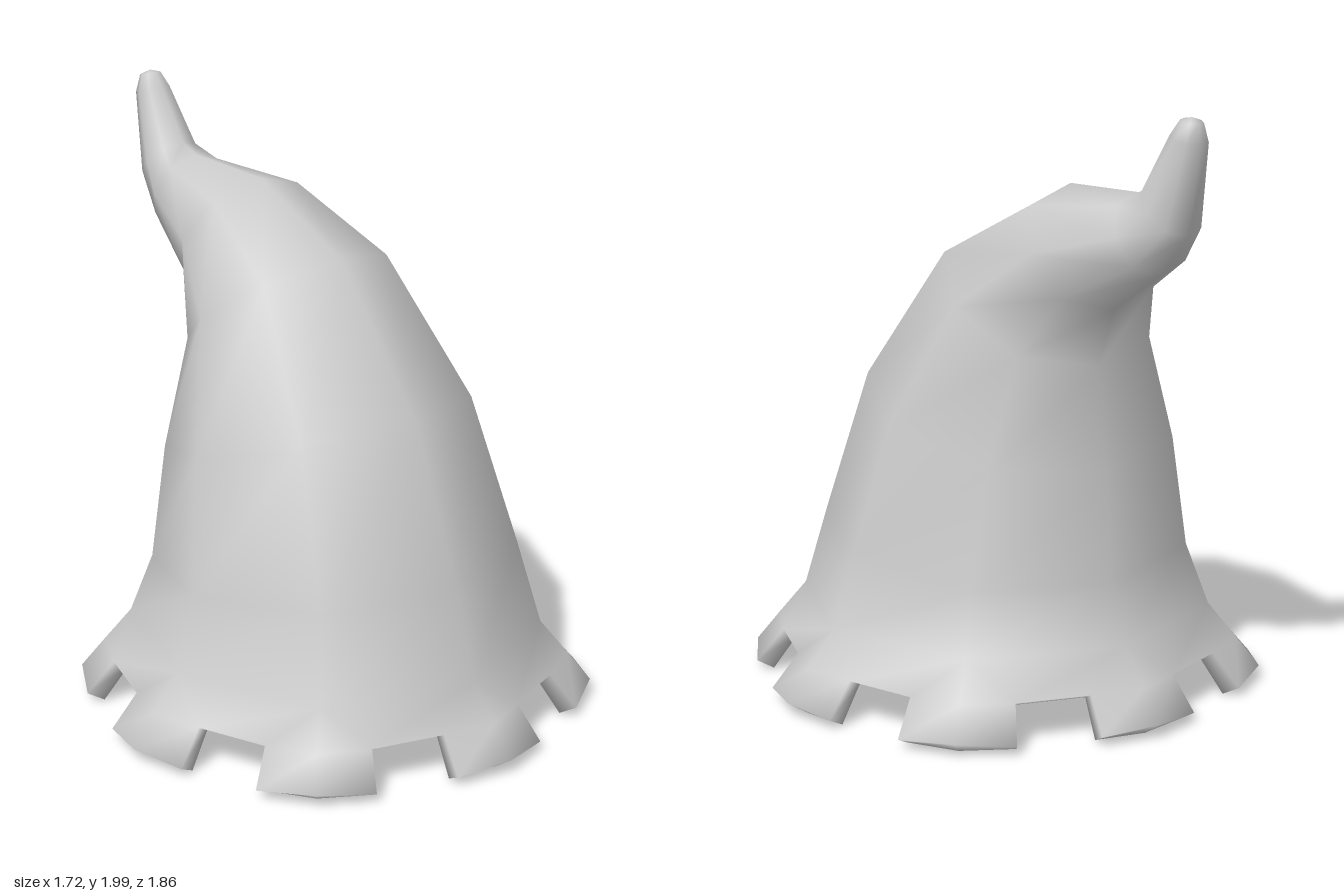
import * as THREE from 'three';
import { mergeVertices } from 'three/addons/utils/BufferGeometryUtils.js';

const SIDES = 8;                   // eight-sided body, one brim tab per corner
const BASE_Z = 0.08;
const TAB_HALF = 0.226;            // half the angle one tab covers

const cornerAngle = s => s * Math.PI * 2 / SIDES;
const bulge = s => (s % 2 ? 1.03 : 1);   // diagonal corners stand out a little

// Tilted eight-sided ring through a front point, a back point and a half width
function bodyRing([zf, yf, zb, yb, w]) {
  return Array.from({ length: SIDES }, (_, s) => {
    const c = Math.cos(cornerAngle(s)) * bulge(s) / 2;
    return new THREE.Vector3(
      w * Math.sin(cornerAngle(s)) * bulge(s),
      (yf + yb) / 2 + (yf - yb) * c,
      (zf + zb) / 2 + (zf - zb) * c);
  });
}

// Level ring with left, middle and right points for every tab
function brimRing(rMid, yMid, rCorner, yCorner) {
  const ring = [];
  for (let s = 0; s < SIDES; s++) {
    for (const side of [-1, 0, 1]) {
      const a = cornerAngle(s) + side * TAB_HALF;
      const r = (side ? rCorner : rMid) * (s % 2 ? 1.022 : 1);
      ring.push(new THREE.Vector3(r * Math.sin(a) * 1.01, side ? yCorner : yMid, BASE_Z + r * Math.cos(a)));
    }
  }
  return ring;
}

// Outer sections from the brim to the curled tip: zFront, yFront, zBack, yBack, halfWidth
const BODY = [
  [0.76, 0.27, -0.60, 0.27, 0.68],
  [0.67, 0.57, -0.52, 0.46, 0.605],
  [0.47, 1.08, -0.49, 0.82, 0.515],
  [0.11, 1.54, -0.44, 1.16, 0.365],
  [-0.29, 1.73, -0.52, 1.355, 0.25],
  [-0.64, 1.745, -0.76, 1.505, 0.14],
  [-0.71, 1.775, -0.88, 1.64, 0.095],
  [-0.825, 1.95, -0.93, 1.92, 0.06],
  [-0.857, 1.995, -0.922, 1.982, 0.036],
  [-0.89, 2.0, -0.89, 2.0, 0],
];

// Domed ceiling inside the opening, from its middle to its edge
const CEILING = [
  [0.08, 0.5, 0.08, 0.5, 0],
  [0.48, 0.42, -0.32, 0.42, 0.4],
  [0.705, 0.235, -0.545, 0.235, 0.625],
];

function hatGeometry() {
  const pos = [];
  const tri = (a, b, c) => {
    if (a.distanceTo(b) < 1e-6 || b.distanceTo(c) < 1e-6 || c.distanceTo(a) < 1e-6) return;
    for (const p of [a, b, c]) pos.push(p.x, p.y, p.z);
  };
  const quad = (a, b, c, d) => { tri(a, b, c); tri(a, c, d); };

  // Walls of the body and the ceiling
  for (const rings of [BODY.map(bodyRing), CEILING.map(bodyRing)]) {
    for (let k = 0; k < rings.length - 1; k++) {
      for (let s = 0; s < SIDES; s++) {
        const n = (s + 1) % SIDES;
        quad(rings[k][s], rings[k][n], rings[k + 1][n], rings[k + 1][s]);
      }
    }
  }

  // Brim: a slanted band that ends in thick tabs
  const outerEdge = bodyRing(BODY[0]);
  const innerEdge = bodyRing(CEILING[CEILING.length - 1]);
  const innerRim = brimRing(0.72, 0.115, 0.69, 0.128);
  const innerTip = brimRing(0.785, 0.008, 0.77, 0.012);
  const outerTip = brimRing(0.853, 0.055, 0.825, 0.04);
  const outerRim = brimRing(0.775, 0.155, 0.735, 0.15);
  const tabRows = [innerRim, innerTip, outerTip, outerRim];

  for (let s = 0; s < SIDES; s++) {
    const n = (s + 1) % SIDES;
    const left = s * 3, mid = left + 1, right = left + 2, next = n * 3;
    // Faces of the tab, its fan up to the body and its fan to the ceiling
    for (const [i, j] of [[left, mid], [mid, right]]) {
      for (let k = 0; k < 3; k++) quad(tabRows[k][i], tabRows[k][j], tabRows[k + 1][j], tabRows[k + 1][i]);
      tri(outerRim[i], outerRim[j], outerEdge[s]);
      tri(innerRim[j], innerRim[i], innerEdge[s]);
    }
    // Cut sides of the tab
    quad(outerTip[right], innerTip[right], innerRim[right], outerRim[right]);
    quad(outerRim[left], innerRim[left], innerTip[left], outerTip[left]);
    // Band above the notch, outside, inside and underneath
    quad(outerRim[right], outerRim[next], outerEdge[n], outerEdge[s]);
    quad(innerRim[next], innerRim[right], innerEdge[s], innerEdge[n]);
    quad(innerRim[right], innerRim[next], outerRim[next], outerRim[right]);
  }

  const geo = new THREE.BufferGeometry();
  geo.setAttribute('position', new THREE.Float32BufferAttribute(pos, 3));
  const smooth = mergeVertices(geo);
  smooth.computeVertexNormals();
  return smooth;
}

export function createModel() {
  const group = new THREE.Group();
  group.name = 'curledHat';
  const hat = new THREE.Mesh(hatGeometry(), new THREE.MeshStandardMaterial({ color: 0xcccccc }));
  hat.name = 'hatWithTabbedBrim';
  group.add(hat);
  return group;
}
